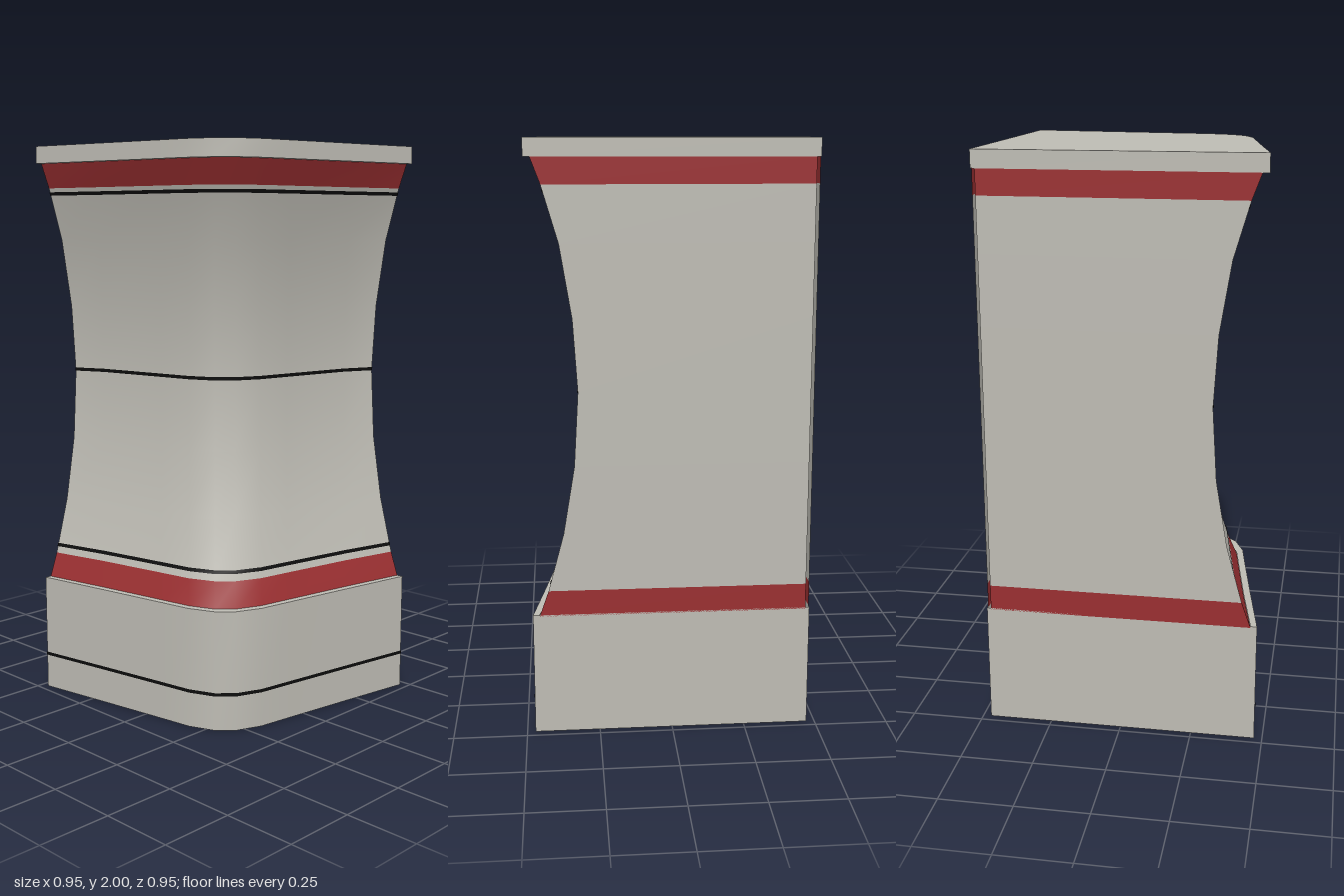
import * as THREE from 'three';

const E = 0.472; // half width of the plan
// front and right outline at full size, from the front left corner to the back right corner
const OUTLINE = [[-E, E], [-0.2, 0.428], [0.07, 0.386], [0.19, 0.368], [0.28, 0.332], [0.332, 0.28],
  [0.368, 0.19], [0.386, 0.07], [0.428, -0.2], [E, -E]];
// height, inward offset of the curved faces
const CURVE = [[0.42, 0.022], [0.51, 0.054], [0.71, 0.108], [0.94, 0.147], [1.19, 0.162],
  [1.43, 0.147], [1.67, 0.108], [1.855, 0.054], [1.94, 0.022]];

function inset(y) {
  for (let i = 1; i < CURVE.length; i++) {
    const [y0, d0] = CURVE[i - 1], [y1, d1] = CURVE[i];
    if (y <= y1) return d0 + (d1 - d0) * (y - y0) / (y1 - y0);
  }
  return CURVE[CURVE.length - 1][1];
}

// outline pushed in by d, while the two back planes stay put
const section = (d) => OUTLINE.map(([x, z], i) => [
  i === 0 ? x : x - d, i === OUTLINE.length - 1 ? z : z - d]);

// surface through rows of equally many [x, y, z] points
function loft(name, rows, material) {
  const n = rows[0].length, index = [];
  for (let r = 0; r + 1 < rows.length; r++) {
    for (let i = 0; i + 1 < n; i++) {
      const a = r * n + i, b = a + 1, c = b + n, d = a + n;
      index.push(a, b, c, a, c, d);
    }
  }
  const g = new THREE.BufferGeometry();
  g.setAttribute('position', new THREE.Float32BufferAttribute(rows.flat(2), 3));
  g.setIndex(index);
  g.computeVertexNormals();
  const mesh = new THREE.Mesh(g, material);
  mesh.name = name;
  return mesh;
}

// levels are [y, inset]; slit opens the back left corner
function walls(name, levels, material, slit = 0) {
  const group = new THREE.Group();
  group.name = name;
  group.add(
    loft(name + 'Front', levels.map(([y, d]) => section(d).map(([x, z]) => [x, y, z])), material),
    loft(name + 'Back', levels.map(([y, d]) => [[E - d, y, -E], [-E + slit, y, -E]]), material),
    loft(name + 'Left', levels.map(([y, d]) => [[-E, y, -E + slit], [-E, y, E - d]]), material));
  return group;
}

// flat plate filling the whole plan
function plate(name, y, material) {
  const shape = new THREE.Shape([...section(0), [-E, -E]].map(([x, z]) => new THREE.Vector2(x, -z)));
  const mesh = new THREE.Mesh(new THREE.ShapeGeometry(shape).rotateX(-Math.PI / 2), material);
  mesh.position.y = y;
  mesh.name = name;
  return mesh;
}

export function createModel() {
  const mat = (name, color) => {
    const m = new THREE.MeshStandardMaterial({ color, side: THREE.DoubleSide });
    m.name = name;
    return m;
  };
  const stone = mat('pale grey', 0xbebcb4);
  const red = mat('dark red', 0x9a2f31);
  const black = mat('black', 0x0c0c0c);

  const model = new THREE.Group();
  model.name = 'pillar';

  // hollow base with a narrow ledge
  model.add(walls('base', [[0, 0], [0.425, 0]], stone));
  model.add(loft('baseLedge', [0, 0.022].map((d) => section(d).map(([x, z]) => [x, 0.425, z])), stone));

  // waisted shaft between two red bands
  const slit = 0.014;
  model.add(walls('lowerBand', CURVE.slice(0, 2), red, slit));
  model.add(walls('shaft', CURVE.slice(1, -1), stone, slit));
  model.add(walls('upperBand', CURVE.slice(-2), red, slit));

  // cap slab
  model.add(walls('capEdge', [[1.94, 0], [2, 0]], stone));
  model.add(plate('capTop', 2, stone), plate('capUnderside', 1.94, stone));

  // thin dark joint lines on the curved faces
  const lift = 0.002, half = 0.006;
  for (const y of [0.13, 0.54, 1.195, 1.835]) {
    const rows = [y - half, y + half].map((h) => {
      const d = h < 0.42 ? 0 : inset(h);
      return section(d - lift).map(([x, z]) => [x, h, z]);
    });
    model.add(loft('jointLine', rows, black));
  }
  return model;
}
